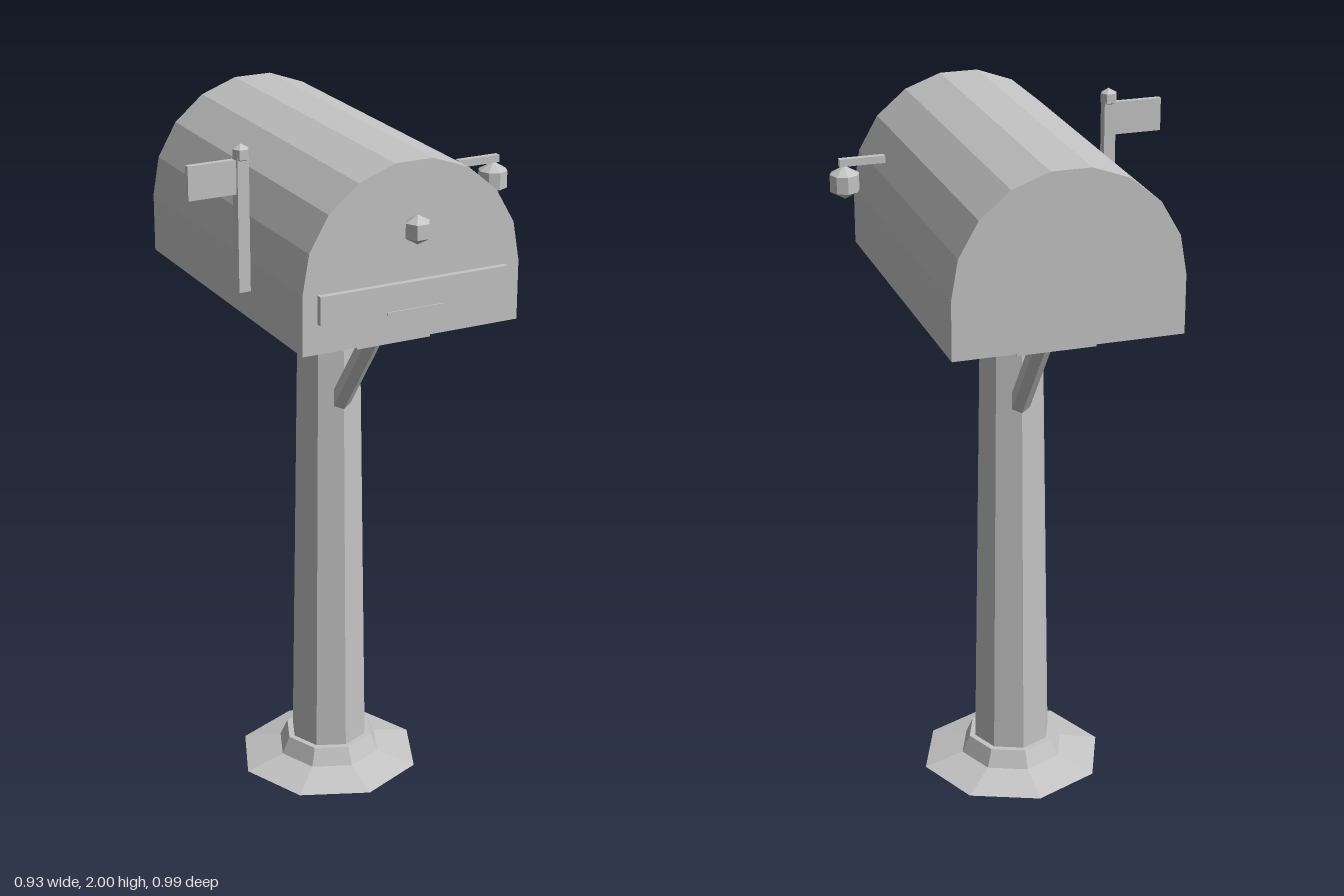
import * as THREE from 'three';

export function createModel() {
  const model = new THREE.Group();
  model.name = 'mailbox';
  const grey = new THREE.MeshStandardMaterial({ color: 0xc4c4c4, flatShading: true });
  grey.name = 'plain grey';
  const CX = 0.01, CZ = -0.025, SIDE_Z = 0.133;

  const add = (name, geometry, x, y, z) => {
    const mesh = new THREE.Mesh(geometry, grey);
    mesh.name = name;
    mesh.position.set(x, y, z);
    model.add(mesh);
    return mesh;
  };
  const box = (name, w, h, d, x, y, z) => add(name, new THREE.BoxGeometry(w, h, d), x, y, z);
  const ball = (name, r, sides, x, y, z) => add(name, new THREE.SphereGeometry(r, sides, 3), x, y, z);

  // Vaulted box: straight walls under a nine-sided half round
  const R = 0.308, floorY = 1.53, springY = 1.69;
  const arch = new THREE.Shape();
  arch.moveTo(-R, floorY);
  arch.lineTo(R, floorY);
  for (let i = 0; i <= 9; i++) {
    const a = (i / 9) * Math.PI;
    arch.lineTo(R * Math.cos(a), springY + R * Math.sin(a));
  }
  arch.closePath();
  add('boxBody', new THREE.ExtrudeGeometry(arch, { depth: 0.938, bevelEnabled: false }), CX, 0, -0.495);

  // Front panel with its small lip, and the door knob
  box('frontPanel', 0.533, 0.076, 0.025, CX, 1.648, 0.447);
  box('panelLip', 0.16, 0.008, 0.01, CX, 1.612, 0.458);
  ball('doorKnob', 0.039, 6, CX, 1.823, 0.464);

  // Mounting plate
  box('mountPlate', 0.214, 0.05, 0.745, CX, 1.508, CZ);

  // Tapered eight-sided post
  add('post', new THREE.CylinderGeometry(0.0885, 0.112, 1.4, 8), CX, 0.79, CZ);

  // Foot: shallow point below, wide rim, collar above
  const profile = [[0, 0], [0.262, 0.07], [0.15, 0.1], [0.128, 0.15], [0, 0.15]];
  add('foot', new THREE.LatheGeometry(profile.map(p => new THREE.Vector2(...p)), 8), CX, 0, CZ);

  // Slanted braces, front and back
  for (const s of [1, -1]) {
    const top = new THREE.Vector3(CX, 1.495, CZ + s * 0.28);
    const low = new THREE.Vector3(CX, 1.212, CZ + s * 0.07);
    const dir = top.clone().sub(low);
    const brace = add(s > 0 ? 'frontBrace' : 'backBrace',
      new THREE.CylinderGeometry(0.029, 0.029, dir.length(), 6), 0, 0, 0);
    brace.position.addVectors(top, low).multiplyScalar(0.5);
    brace.quaternion.setFromUnitVectors(new THREE.Vector3(0, 1, 0), dir.normalize());
  }

  // Signal flag on the right side
  box('flagPole', 0.032, 0.355, 0.03, -0.317, 1.788, SIDE_Z);
  box('flag', 0.135, 0.09, 0.016, -0.398, 1.916, SIDE_Z);
  ball('flagKnob', 0.026, 6, -0.317, 1.974, SIDE_Z);

  // Side arm with hanging ball on the left side
  box('sideArm', 0.124, 0.02, 0.017, 0.372, 1.864, SIDE_Z);
  ball('hangingBall', 0.046, 8, 0.42, 1.81, SIDE_Z);

  return model;
}
